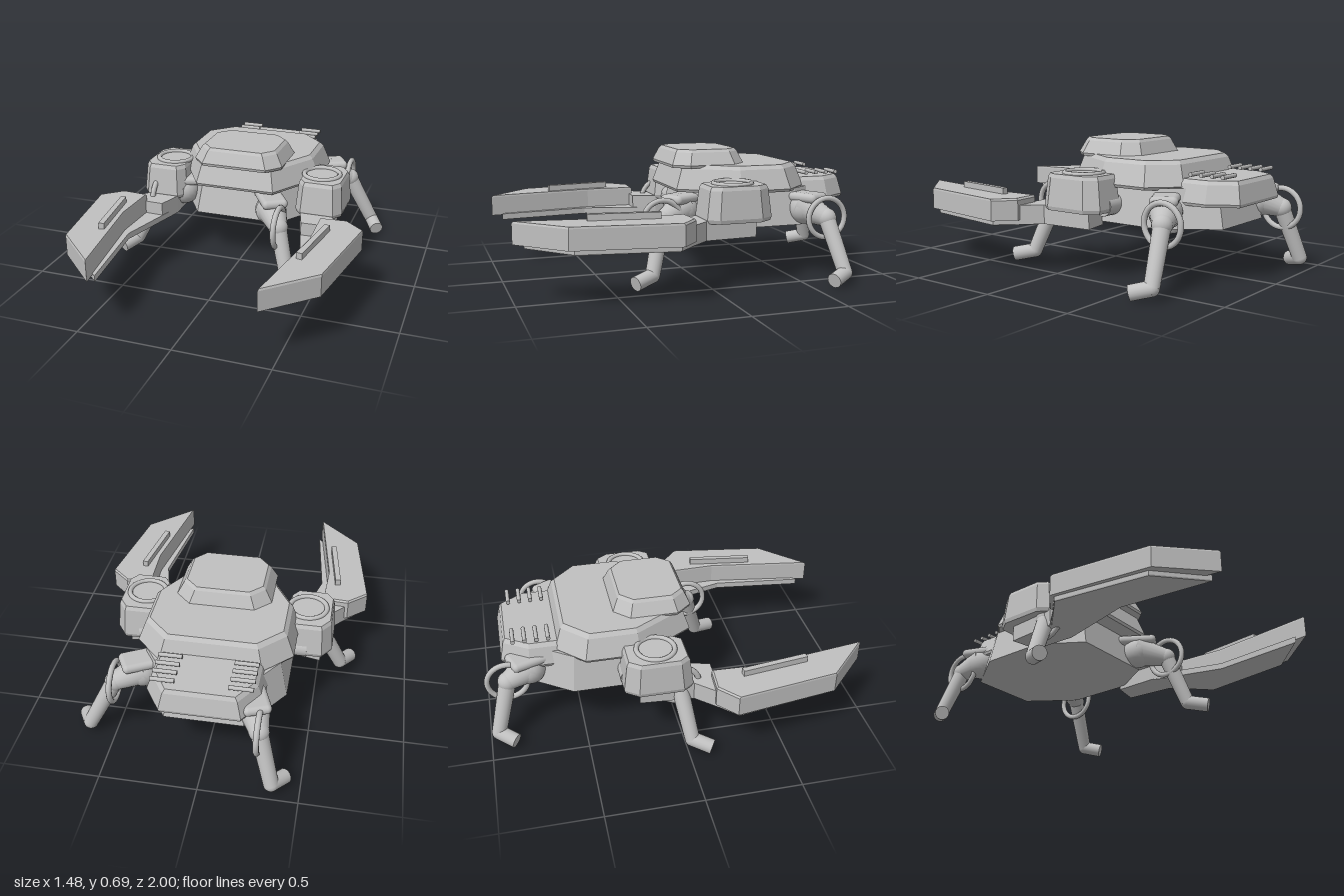
import * as THREE from 'three';
import { RoundedBoxGeometry } from 'three/addons/geometries/RoundedBoxGeometry.js';

const grey = new THREE.MeshStandardMaterial({ color: 0xc0c0c0 });
grey.name = 'plain grey';

const V = (a) => new THREE.Vector3(...a);

function add(parent, name, geometry, position = [0, 0, 0]) {
  const mesh = new THREE.Mesh(geometry, grey);
  mesh.name = name;
  mesh.position.set(...position);
  parent.add(mesh);
  return mesh;
}

// Stacks scaled copies of an [x, z] outline at [height, scale] levels, with flat faces
function loft(outline, levels) {
  let pts = outline.map(([x, z]) => new THREE.Vector2(x, z));
  if (THREE.ShapeUtils.area(pts) < 0) pts.reverse();
  const c = new THREE.Box2().setFromPoints(pts).getCenter(new THREE.Vector2());
  const rows = levels.map(([y, s]) => pts.map((p) => [c.x + (p.x - c.x) * s, y, c.y + (p.y - c.y) * s]));
  const out = [];
  const tri = (a, b, d) => out.push(...a, ...b, ...d);
  for (let k = 0; k + 1 < rows.length; k++) {
    pts.forEach((_, i) => {
      const j = (i + 1) % pts.length;
      const lo = rows[k], hi = rows[k + 1];
      tri(lo[i], hi[j], lo[j]);
      tri(lo[i], hi[i], hi[j]);
    });
  }
  const top = rows[rows.length - 1];
  for (const [a, b, d] of THREE.ShapeUtils.triangulateShape(pts, [])) {
    tri(rows[0][a], rows[0][b], rows[0][d]);
    tri(top[a], top[d], top[b]);
  }
  const g = new THREE.BufferGeometry();
  g.setAttribute('position', new THREE.Float32BufferAttribute(out, 3));
  g.computeVertexNormals();
  return g;
}

// Symmetric eight-sided outline: front edge, sides, back edge
function octagon(front, frontZ, side, sideFrontZ, sideBackZ, back, backZ, cx = 0) {
  const half = [[front, frontZ], [side, sideFrontZ], [side, sideBackZ], [back, backZ]];
  return [...half, ...half.map(([x, z]) => [-x, z]).reverse()].map(([x, z]) => [x + cx, z]);
}

// Round bar between two points
function bar(parent, name, from, to, r0, r1 = r0, sides = 20) {
  const a = V(from), b = V(to), d = b.clone().sub(a);
  const mesh = add(parent, name, new THREE.CylinderGeometry(r1, r0, d.length(), sides));
  mesh.position.copy(a).add(b).multiplyScalar(0.5);
  mesh.quaternion.setFromUnitVectors(new THREE.Vector3(0, 1, 0), d.normalize());
  return mesh;
}

function buildBody(root) {
  const body = new THREE.Group();
  body.name = 'body';
  root.add(body);
  add(body, 'lowerHull', loft(octagon(0.24, 0.04, 0.38, -0.18, -0.55, 0.2, -0.81),
    [[0.285, 1], [0.48, 0.9]]));
  add(body, 'mainShell', loft(octagon(0.22, 0.1, 0.4, -0.2, -0.48, 0.26, -0.62),
    [[0.47, 0.98], [0.485, 1], [0.59, 0.9], [0.61, 0.85]]));
  add(body, 'topShell', loft(octagon(0.18, 0.11, 0.25, 0.03, -0.22, 0.17, -0.3),
    [[0.595, 0.98], [0.61, 1], [0.675, 0.86], [0.69, 0.8]]));
  add(body, 'tailShell', loft(octagon(0.26, -0.5, 0.29, -0.55, -0.76, 0.2, -0.9),
    [[0.4, 0.98], [0.415, 1], [0.505, 0.9], [0.525, 0.84]]));
  // Short rods in two rows over the tail
  for (const s of [-1, 1]) {
    for (let i = 0; i < 4; i++) {
      const z = -0.65 - i * 0.06;
      bar(body, 'tailRod', [s * 0.13, 0.547, z], [s * 0.25, 0.547, z], 0.011, 0.011, 10);
    }
  }
}

function buildArm(root, s) {
  const arm = new THREE.Group();
  arm.name = s > 0 ? 'leftArm' : 'rightArm';
  root.add(arm);
  const side = (pts) => pts.map(([x, z]) => [s * x, z]);

  // Shoulder tower with a rimmed top
  add(arm, 'shoulderTower', loft(octagon(0.09, 0.045, 0.13, -0.01, -0.24, 0.08, -0.31, s * 0.45),
    [[0.35, 0.96], [0.37, 1], [0.515, 0.9], [0.535, 0.84]]));
  const rim = add(arm, 'shoulderRim', new THREE.TorusGeometry(0.098, 0.013, 10, 32), [s * 0.435, 0.537, -0.13]);
  rim.rotation.x = Math.PI / 2;
  bar(arm, 'shoulderLink', [s * 0.3, 0.38, -0.26], [s * 0.45, 0.38, -0.26], 0.055);

  // Arm block under the tower and the two-layer claw
  add(arm, 'armBlock', loft(side([[0.37, -0.2], [0.52, -0.23], [0.54, 0.05], [0.64, 0.16], [0.4, 0.17], [0.36, 0.04]]),
    [[0.265, 1], [0.365, 1]]));
  add(arm, 'lowerBlade', loft(
    side([[0.365, 0.05], [0.53, 0.05], [0.72, 0.24], [0.64, 0.74], [0.415, 0.94], [0.472, 0.45]]),
    [[0.262, 0.99], [0.268, 1], [0.295, 1]]));
  add(arm, 'upperBlade', loft(
    side([[0.5, 0.15], [0.64, 0.14], [0.742, 0.23], [0.66, 0.77], [0.425, 0.997], [0.51, 0.42]]),
    [[0.288, 1], [0.392, 1], [0.402, 0.98]]));
  const ridge = add(arm, 'bladeRidge', new THREE.BoxGeometry(0.03, 0.035, 0.36), [s * 0.545, 0.417, 0.475]);
  ridge.rotation.y = -s * 0.14;
}

// Hip, vertical ring, shin and foot through the given points
function buildLeg(root, { name, hip, ring, knee, toe }) {
  const leg = new THREE.Group();
  leg.name = name;
  root.add(leg);
  const yaw = Math.atan2(ring[0] - hip[0], ring[2] - hip[2]);
  const cover = add(leg, 'hipCover', new RoundedBoxGeometry(0.14, 0.05, 0.22, 3, 0.024), [hip[0], 0.435, hip[2]]);
  cover.rotation.y = yaw;
  bar(leg, 'hip', [hip[0], 0.38, hip[2]], ring, 0.085, 0.05);
  add(leg, 'hipBall', new THREE.SphereGeometry(0.085, 20, 14), [hip[0], 0.37, hip[2]]);
  const hoop = add(leg, 'legRing', new THREE.TorusGeometry(0.105, 0.015, 10, 36), ring);
  hoop.rotation.y = Math.PI / 2;
  add(leg, 'ringJoint', new THREE.SphereGeometry(0.052, 20, 14), ring);
  bar(leg, 'shin', ring, knee, 0.045, 0.039);
  add(leg, 'ankle', new THREE.SphereGeometry(0.039, 20, 14), knee);
  bar(leg, 'foot', knee, toe, 0.039);
}

export function createModel() {
  const root = new THREE.Group();
  root.name = 'crabWalker';
  buildBody(root);
  for (const s of [-1, 1]) buildArm(root, s);
  const legs = [
    { name: 'frontLeftLeg', hip: [0.2, 0, 0.06], ring: [0.285, 0.335, 0.2], knee: [0.365, 0.065, 0.28], toe: [0.415, 0.04, 0.385] },
    { name: 'frontRightLeg', hip: [-0.36, 0, -0.07], ring: [-0.495, 0.335, -0.02], knee: [-0.625, 0.065, 0.025], toe: [-0.68, 0.04, 0.12] },
    { name: 'rearLeftLeg', hip: [0.36, 0, -0.58], ring: [0.49, 0.335, -0.65], knee: [0.63, 0.065, -0.69], toe: [0.68, 0.04, -0.6] },
    { name: 'rearRightLeg', hip: [-0.24, 0, -0.76], ring: [-0.285, 0.335, -0.88], knee: [-0.36, 0.065, -0.955], toe: [-0.42, 0.04, -0.87] },
  ];
  for (const spec of legs) buildLeg(root, spec);
  return root;
}
